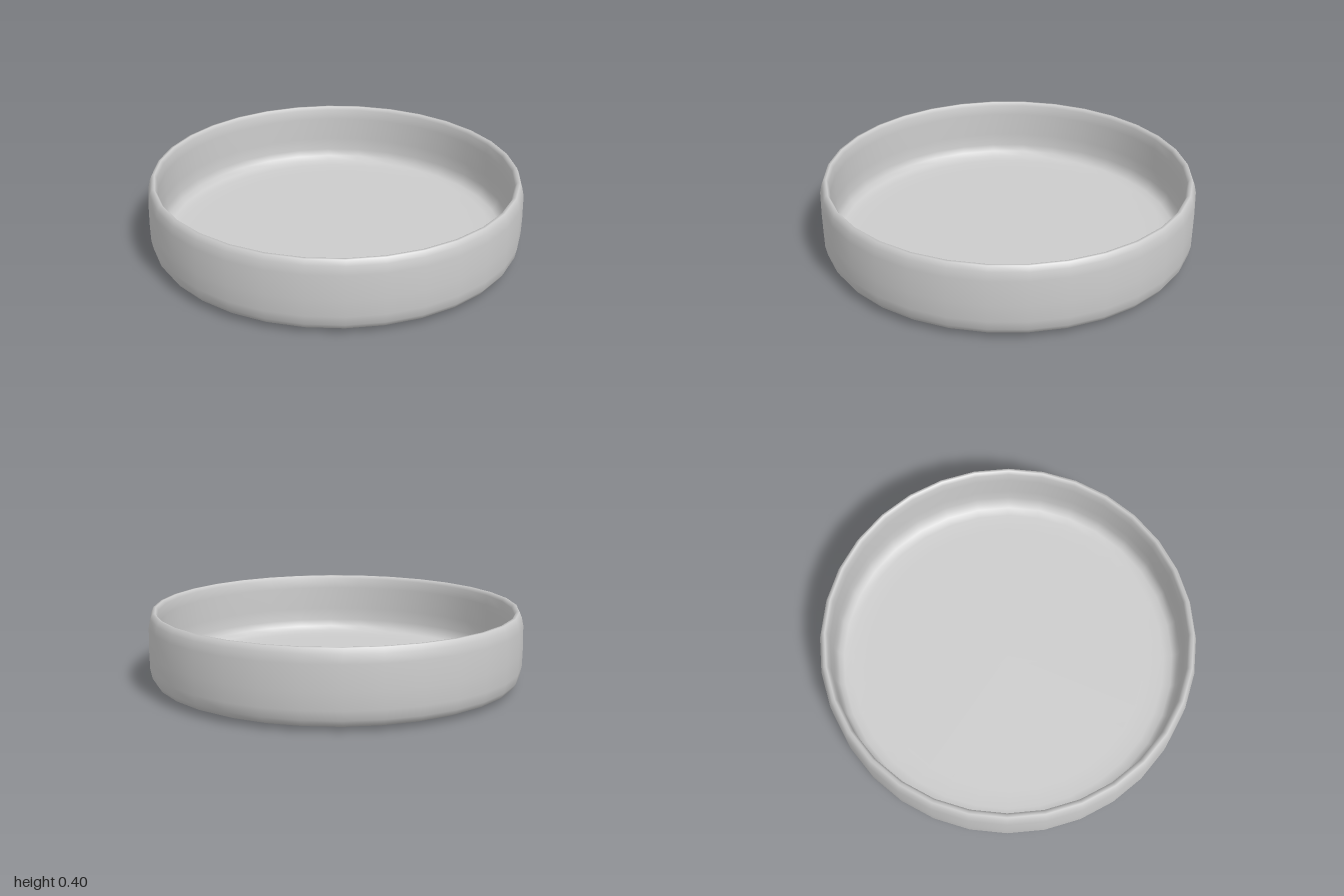
import * as THREE from 'three';

export function createModel() {
  const group = new THREE.Group();
  group.name = 'shallowDish';
  const material = new THREE.MeshStandardMaterial({ color: 0xcccccc });

  // One closed profile: underside, outer wall, rounded rim, inner wall, floor
  const profile = [
    [0, 0], [0.75, 0.003], [0.87, 0.007], [0.93, 0.015], [0.97, 0.032], [0.988, 0.06],
    [0.998, 0.11], [1, 0.2], [0.998, 0.33], [0.988, 0.375], [0.976, 0.403],
    [0.962, 0.404], [0.95, 0.385], [0.945, 0.33], [0.945, 0.2], [0.942, 0.13],
    [0.93, 0.092], [0.905, 0.07], [0.86, 0.06], [0.75, 0.057], [0, 0.055],
  ].map(([r, y]) => new THREE.Vector2(r, y));

  const dish = new THREE.Mesh(new THREE.LatheGeometry(profile, 32), material);
  dish.name = 'dish';
  group.add(dish);
  return group;
}
